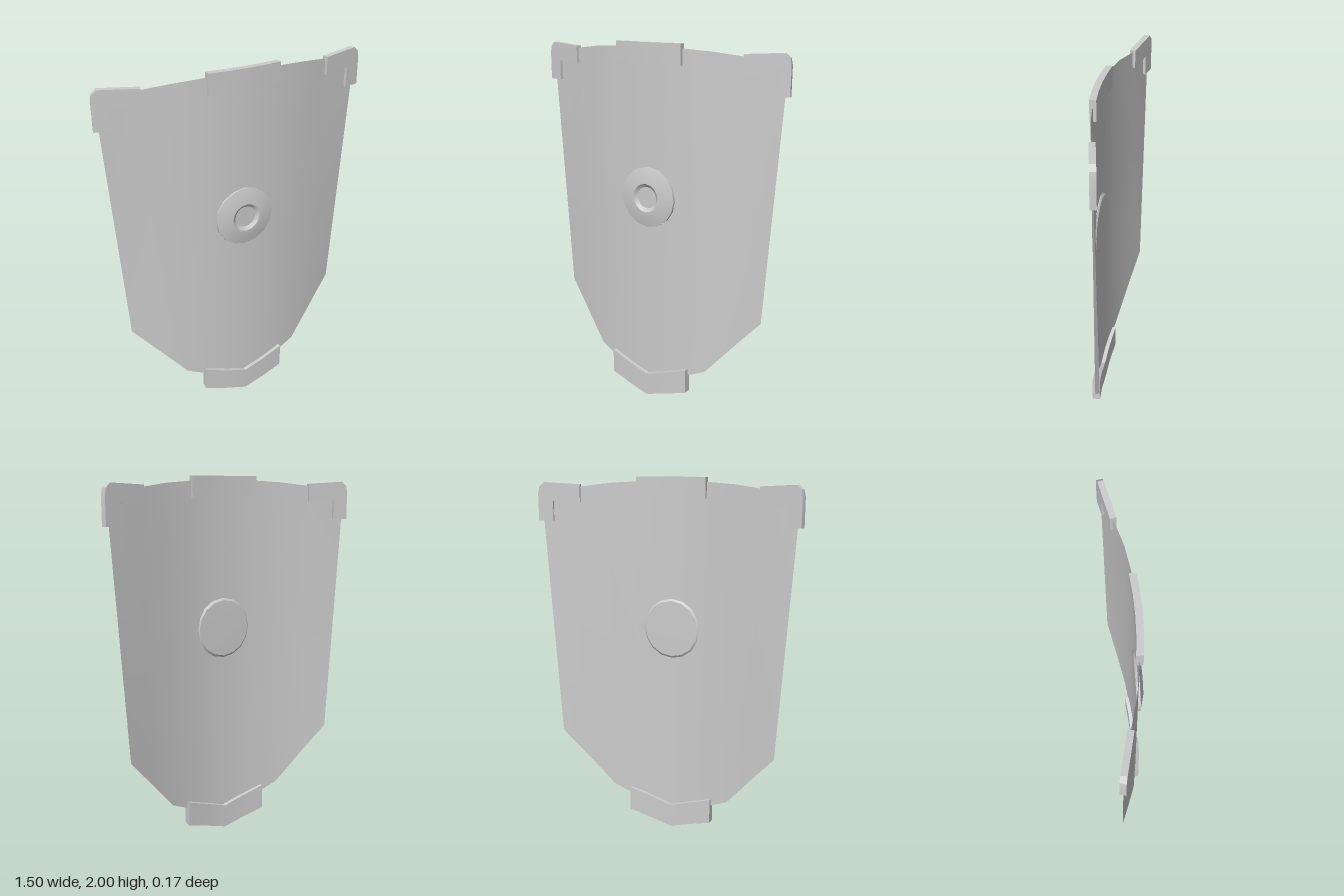
import * as THREE from 'three';
import { toCreasedNormals } from 'three/addons/utils/BufferGeometryUtils.js';

// Cross-section of the curved plate: [x, z], mirrored about x = 0
const CURVE = [[0, 0.06], [0.1, 0.057], [0.2, 0.048], [0.36, 0.024], [0.52, -0.018], [0.73, -0.065]];

// Plate depth at x, extended in a straight line past the edge
function plateZ(x) {
  const a = Math.abs(x);
  let i = 0;
  while (i < CURVE.length - 2 && a > CURVE[i + 1][0]) i++;
  const [x0, z0] = CURVE[i], [x1, z1] = CURVE[i + 1];
  return z0 + (z1 - z0) * (a - x0) / (x1 - x0);
}

function addMesh(group, name, geometry, material) {
  const mesh = new THREE.Mesh(geometry, material);
  mesh.name = name;
  group.add(mesh);
  return mesh;
}

// Thin curved plate: straight columns between the top and bottom outlines
function plateGeometry() {
  const top = [1.985, 1.982, 1.975, 1.965, 1.945, 1.9];
  const bottom = [[0, 0.05], [0.1, 0.095], [0.19, 0.15], [0.35, 0.22], [0.49, 0.38], [0.638, 0.545]];
  const n = CURVE.length - 1, rows = 4;
  const positions = [], index = [];
  for (let c = -n; c <= n; c++) {
    const k = Math.abs(c), s = Math.sign(c);
    for (let r = 0; r <= rows; r++) {
      const t = r / rows;
      positions.push(
        s * THREE.MathUtils.lerp(bottom[k][0], CURVE[k][0], t),
        THREE.MathUtils.lerp(bottom[k][1], top[k], t),
        CURVE[k][1]);
    }
  }
  for (let c = 0; c < 2 * n; c++) {
    for (let r = 0; r < rows; r++) {
      const a = c * (rows + 1) + r, b = a + rows + 1;
      index.push(a, b, b + 1, a, b + 1, a + 1);
    }
  }
  const g = new THREE.BufferGeometry();
  g.setAttribute('position', new THREE.Float32BufferAttribute(positions, 3));
  g.setIndex(index);
  g.computeVertexNormals();
  return g;
}

// Bent bar following the plate; low and high give its edges at |x|
function bandGeometry(halfWidth, depth, low, high) {
  const g = new THREE.BoxGeometry(halfWidth * 2, 1, depth, 4, 1, 1);
  const p = g.attributes.position;
  for (let i = 0; i < p.count; i++) {
    const x = p.getX(i), a = Math.abs(x);
    p.setY(i, p.getY(i) > 0 ? high(a) : low(a));
    p.setZ(i, p.getZ(i) + plateZ(x));
  }
  return toCreasedNormals(g, 0.4);
}

// L-shaped corner guard, side = 1 or -1, leaning with the plate
function cornerGeometry(side) {
  const outline = [[0.515, 1.86], [0.665, 1.868], [0.665, 1.76], [0.747, 1.76], [0.747, 1.91],
    [0.74, 1.945], [0.715, 1.968], [0.515, 1.957]];
  const shape = new THREE.Shape(outline.map(([x, y]) => new THREE.Vector2(side * x, y)));
  const depth = 0.03;
  const g = new THREE.ExtrudeGeometry(shape, { depth, bevelEnabled: false });
  const p = g.attributes.position;
  for (let i = 0; i < p.count; i++) {
    const x = p.getX(i), d = p.getZ(i) - depth / 2;
    p.setX(i, x + side * d * 0.25);
    p.setZ(i, plateZ(x) + d);
  }
  return toCreasedNormals(g, 0.6);
}

// Round boss with a sloped rim and a dished centre
function bossGeometry() {
  const profile = [[0, 0.045], [0.155, 0.047], [0.166, 0.055], [0.166, 0.068], [0.085, 0.088],
    [0.078, 0.088], [0.06, 0.074], [0, 0.074]];
  const g = new THREE.LatheGeometry(profile.map(([r, z]) => new THREE.Vector2(r, z)), 16);
  g.rotateX(Math.PI / 2);
  return toCreasedNormals(g, 0.45);
}

export function createModel() {
  const group = new THREE.Group();
  group.name = 'shield';
  const grey = new THREE.MeshStandardMaterial({ color: 0xcccccc });
  const sheet = new THREE.MeshStandardMaterial({ color: 0xcccccc, side: THREE.DoubleSide });

  addMesh(group, 'plate', plateGeometry(), sheet);

  // Edge guards
  addMesh(group, 'topGuard', bandGeometry(0.2, 0.034, () => 1.89, () => 2), grey);
  addMesh(group, 'bottomGuard',
    bandGeometry(0.248, 0.044, a => 0.005 + a * 0.29, a => 0.135 + a * 0.32), grey);
  addMesh(group, 'leftCornerGuard', cornerGeometry(1), grey);
  addMesh(group, 'rightCornerGuard', cornerGeometry(-1), grey);

  // The lathe axis now runs along z; only the height is left to set
  addMesh(group, 'boss', bossGeometry(), grey).position.y = 1.18;
  return group;
}
